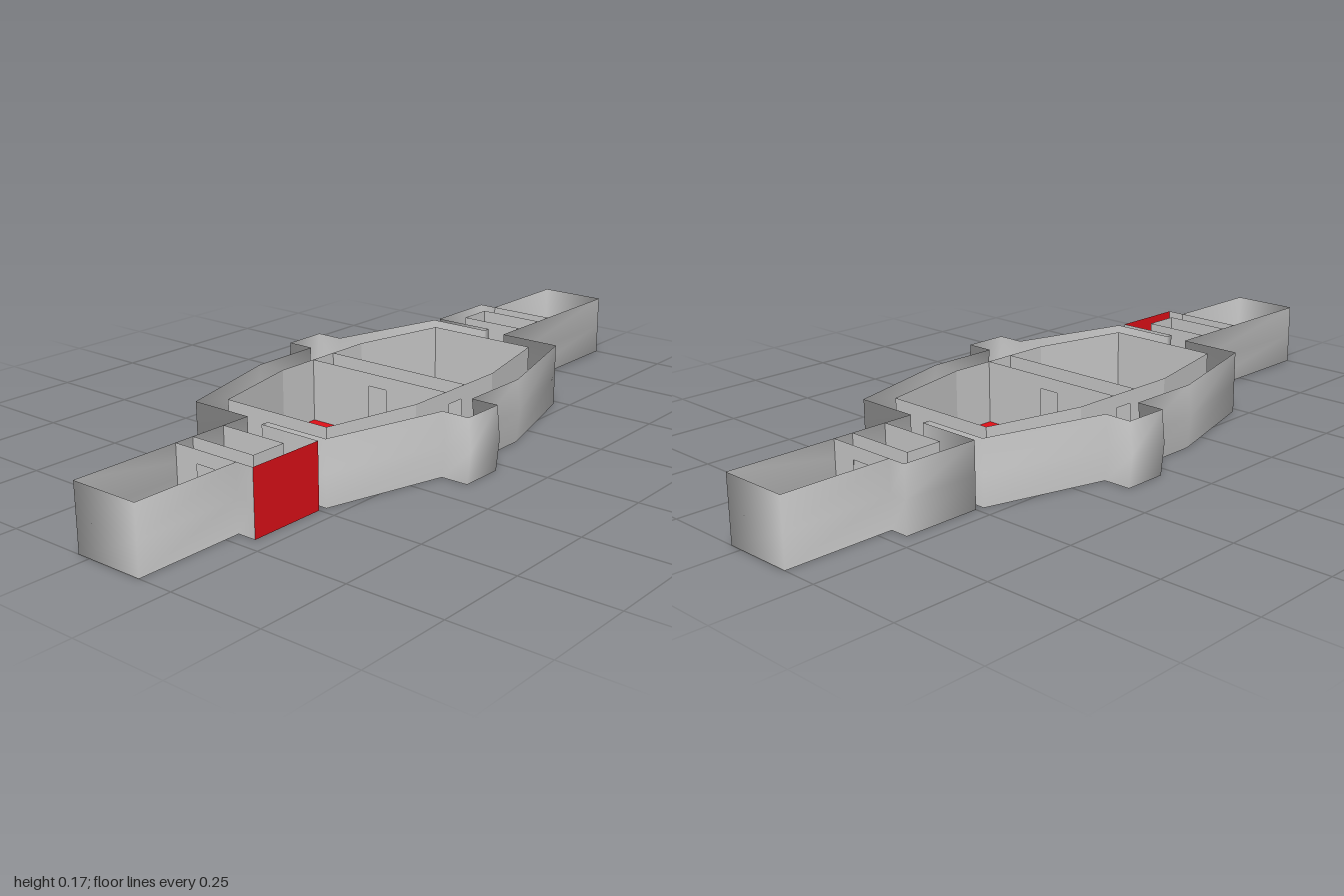
import * as THREE from 'three';

const H = 0.17;      // wall height
const BULGE = 0.009; // outward swell of the flanks at mid height
const material = (color) => new THREE.MeshStandardMaterial({ color, side: THREE.DoubleSide });
const grey = material(0xcccccc);
const red = material(0xe01018);

// Half of the plan as [x, z]; the other half is the same turned by 180 degrees.
const half = [
  [0.3, -0.16], [0.3, 0.04], [0.376, 0.04], [0.376, 0.16], [0.3, 0.16],
  [0.21, 0.48], [0.03, 0.48], [0.03, 0.5], [0.205, 0.5], [0.205, 0.71],
  [0.155, 0.71], [0.155, 1], [-0.035, 1], [-0.035, 0.48], [-0.21, 0.48],
];
const outline = [...half, ...half.map(([x, z]) => [-x, -z])];
const RED_SIDE = 8; // outline side with the coloured panel

function add(parent, name, geometry, mat = grey) {
  const mesh = new THREE.Mesh(geometry, mat);
  mesh.name = name;
  parent.add(mesh);
  return mesh;
}

// Smooth skin around the outline in three rings, swollen at the middle ring
function hullGeometry() {
  const n = outline.length;
  const pos = [], index = [];
  for (let r = 0; r < 3; r++) {
    for (const [x, z] of outline) {
      const swell = r === 1 && Math.abs(x) >= 0.3 ? Math.sign(x) * BULGE : 0;
      pos.push(x + swell, (r * H) / 2, z);
    }
  }
  for (let r = 0; r < 2; r++) {
    for (let i = 0; i < n; i++) {
      if (i === RED_SIDE) continue;
      const a = r * n + i, b = r * n + ((i + 1) % n);
      index.push(a, a + n, b, b, a + n, b + n);
    }
  }
  const g = new THREE.BufferGeometry();
  g.setAttribute('position', new THREE.Float32BufferAttribute(pos, 3));
  g.setIndex(index);
  g.computeVertexNormals();
  return g;
}

// Thin upright wall between two plan points, optionally with a central doorway
function addWall(parent, name, [x0, z0], [x1, z1], door = 0, mat = grey) {
  const len = Math.hypot(x1 - x0, z1 - z0);
  const s = new THREE.Shape([[0, 0], [len, 0], [len, H], [0, H]].map((p) => new THREE.Vector2(...p)));
  if (door) {
    const a = (len - door) / 2, b = (len + door) / 2;
    s.holes.push(new THREE.Path([[a, 0.01], [a, 0.135], [b, 0.135], [b, 0.01]].map((p) => new THREE.Vector2(...p))));
  }
  const m = add(parent, name, new THREE.ShapeGeometry(s), mat);
  m.position.set(x0, 0, z0);
  m.rotation.y = -Math.atan2(z1 - z0, x1 - x0);
}

// Inner partitions of one half
function makeInterior(name) {
  const g = new THREE.Group();
  g.name = name;
  // main room
  const room = [[-0.22, 0.04], [-0.22, 0.16], [-0.16, 0.42], [0.16, 0.42], [0.22, 0.16], [0.22, 0.04]];
  room.forEach((p, i) => {
    const last = i === room.length - 1;
    addWall(g, last ? 'roomDoorWall' : 'roomWall', p, room[(i + 1) % room.length], last ? 0.057 : 0);
  });
  // end of the cross passage
  addWall(g, 'passageDoorWall', [0.22, -0.04], [0.22, 0.04], 0.05);
  // small cabin and the end room's door
  addWall(g, 'cabinWall', [-0.035, 0.56], [0.155, 0.56]);
  addWall(g, 'cabinWall', [-0.035, 0.657], [0.155, 0.657]);
  addWall(g, 'cabinDoorWall', [0.155, 0.56], [0.155, 0.657], 0.05);
  addWall(g, 'endRoomDoorWall', [-0.035, 0.71], [0.155, 0.71], 0.057);
  return g;
}

export function createModel() {
  const model = new THREE.Group();
  model.name = 'deck';

  // floor, seen from above and below
  const plan = new THREE.Shape(outline.map(([x, z]) => new THREE.Vector2(x, z)));
  add(model, 'floor', new THREE.ShapeGeometry(plan).rotateX(Math.PI / 2), red);

  // outer walls
  add(model, 'outerWall', hullGeometry());
  addWall(model, 'redWallPanel', outline[RED_SIDE + 1], outline[RED_SIDE], 0, red);

  // partitions, repeated by a half turn
  model.add(makeInterior('frontInterior'));
  const back = makeInterior('backInterior');
  back.rotation.y = Math.PI;
  model.add(back);
  return model;
}
